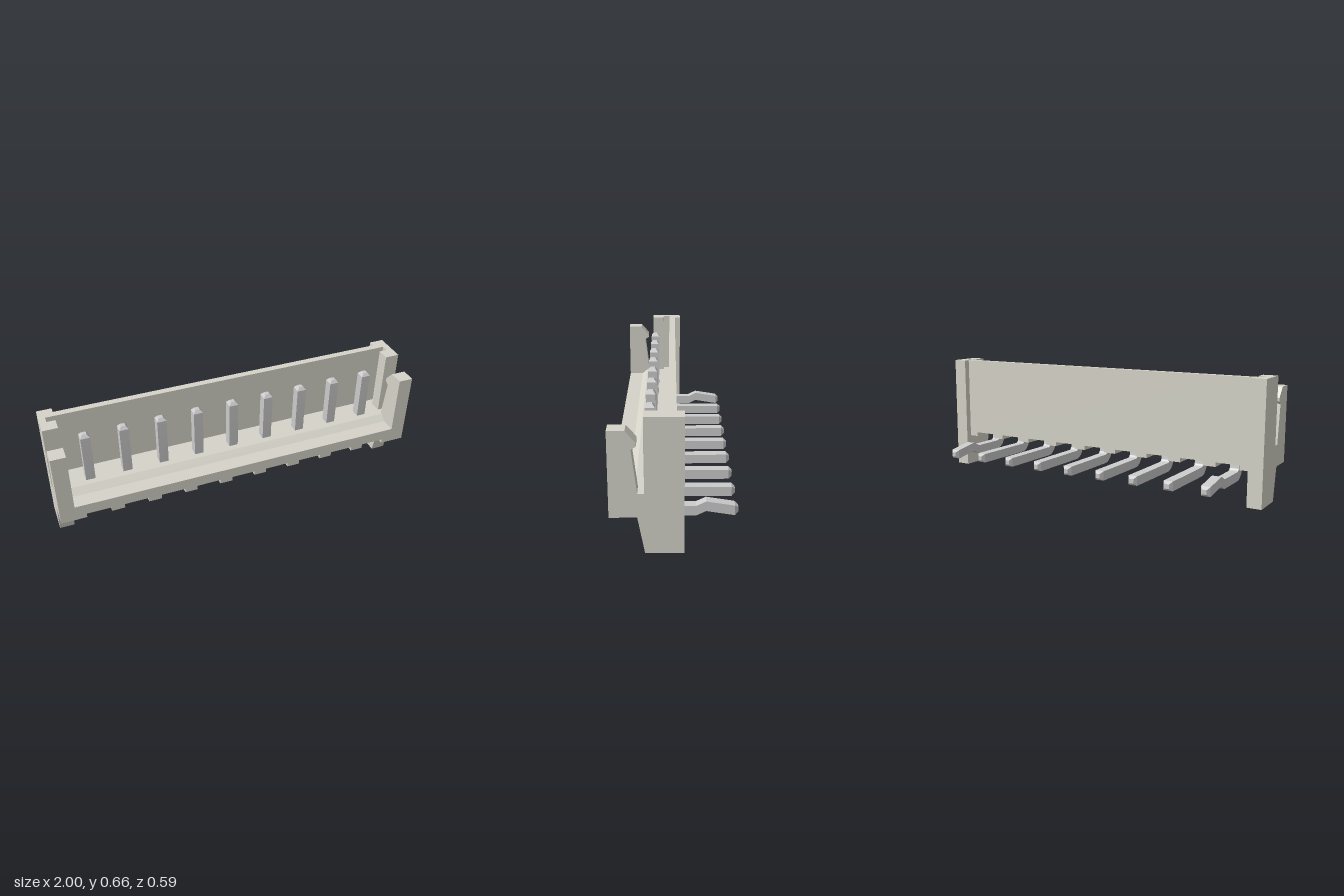
import * as THREE from 'three';
import { toCreasedNormals } from 'three/addons/utils/BufferGeometryUtils.js';

const plastic = new THREE.MeshStandardMaterial({ color: 0xd6d4c9 });
const metal = new THREE.MeshStandardMaterial({ color: 0xcccccc });

// Extrudes a side profile given in (z, y) across x0..x1
function extrudeAcross(shape, x0, x1) {
  const geo = new THREE.ExtrudeGeometry(shape, { depth: x1 - x0, bevelEnabled: false, curveSegments: 8 });
  geo.rotateY(-Math.PI / 2);
  geo.translate(x1, 0, 0);
  return toCreasedNormals(geo, 0.3);
}

function polygon(points) {
  return new THREE.Shape(points.map(([z, y]) => new THREE.Vector2(z, y)));
}

function add(parent, name, geo, material) {
  const mesh = new THREE.Mesh(geo, material);
  mesh.name = name;
  parent.add(mesh);
  return mesh;
}

// Side profile of an end wall with its foot and front latch; optionally with a guide slot
function endProfile(slotted) {
  const slot = slotted ? [[0.03, 0.656], [0.03, 0.295], [0.068, 0.295], [0.068, 0.656]] : [];
  return polygon([
    [0.297, 0.18], [0.17, 0.18], [0.137, 0], [-0.04, 0], [-0.04, 0.656],
    ...slot,
    [0.137, 0.656], [0.137, 0.297], [0.168, 0.297], [0.193, 0.505],
    [0.17, 0.521], [0.17, 0.537], [0.217, 0.592], [0.297, 0.592],
  ]);
}

// L-shaped pin; the outermost pins have a kink in the tail
function pinShape(kinked) {
  const s = new THREE.Shape();
  s.moveTo(0.146, 0.562);
  s.lineTo(0.146, 0.167);
  s.absarc(0.076, 0.167, 0.07, 0, -Math.PI / 2, true);
  if (kinked) {
    s.lineTo(-0.098, 0.097);
    s.lineTo(-0.145, 0.12);
  }
  s.lineTo(-0.28, 0.098);
  s.lineTo(-0.28, 0.148);
  if (kinked) {
    s.lineTo(-0.145, 0.17);
    s.lineTo(-0.098, 0.147);
  }
  s.lineTo(0.076, 0.147);
  s.absarc(0.076, 0.167, 0.02, -Math.PI / 2, 0, false);
  s.lineTo(0.096, 0.562);
  return s;
}

// Square frustum that closes a pin end
function tipGeometry() {
  const geo = new THREE.CylinderGeometry(0.024 / Math.SQRT2, 0.05 / Math.SQRT2, 0.017, 4, 1).toNonIndexed();
  geo.rotateY(Math.PI / 4);
  geo.translate(0, 0.0085, 0);
  geo.computeVertexNormals();
  return geo;
}

export function createModel() {
  const model = new THREE.Group();
  model.name = 'pinHeader';

  // Floor, sloped front sill and back wall in one profile
  const body = polygon([
    [-0.006, 0.204], [0.297, 0.204], [0.297, 0.265], [0.215, 0.265],
    [0.18, 0.295], [0.03, 0.295], [0.03, 0.656], [-0.006, 0.656],
  ]);
  add(model, 'floorAndBackWall', extrudeAcross(body, -0.921, 0.921), plastic);

  // End walls: solid outer layer, slotted inner layer
  for (const side of [-1, 1]) {
    const end = new THREE.Group();
    end.name = side > 0 ? 'leftEndWall' : 'rightEndWall';
    const layer = (name, slotted, a, b) => add(end, name,
      extrudeAcross(endProfile(slotted), Math.min(side * a, side * b), Math.max(side * a, side * b)), plastic);
    layer('outerLayer', false, 0.966, 1);
    layer('innerLayer', true, 0.921, 0.966);
    model.add(end);
  }

  // Ribs under the floor, between the pins
  const rib = (x0, x1) => {
    const geo = new THREE.BoxGeometry(x1 - x0, 0.024, 0.303);
    geo.translate((x0 + x1) / 2, 0.192, 0.1455);
    add(model, 'bottomRib', geo, plastic);
  };
  for (let i = 0; i < 8; i++) rib(-0.735 + i * 0.2, -0.665 + i * 0.2);
  rib(-0.921, -0.865);
  rib(0.865, 0.921);

  // Nine bent square pins
  const straight = extrudeAcross(pinShape(false), -0.025, 0.025);
  const kinked = extrudeAcross(pinShape(true), -0.025, 0.025);
  const tip = tipGeometry();
  for (let i = 0; i < 9; i++) {
    const pin = new THREE.Group();
    pin.name = 'pin';
    pin.position.x = -0.8 + i * 0.2;
    add(pin, 'pinBody', i % 8 === 0 ? kinked : straight, metal);
    add(pin, 'contactTip', tip, metal).position.set(0, 0.562, 0.121);
    const tail = add(pin, 'tailTip', tip, metal);
    tail.position.set(0, 0.123, -0.28);
    tail.rotation.x = -Math.PI / 2;
    model.add(pin);
  }
  return model;
}
